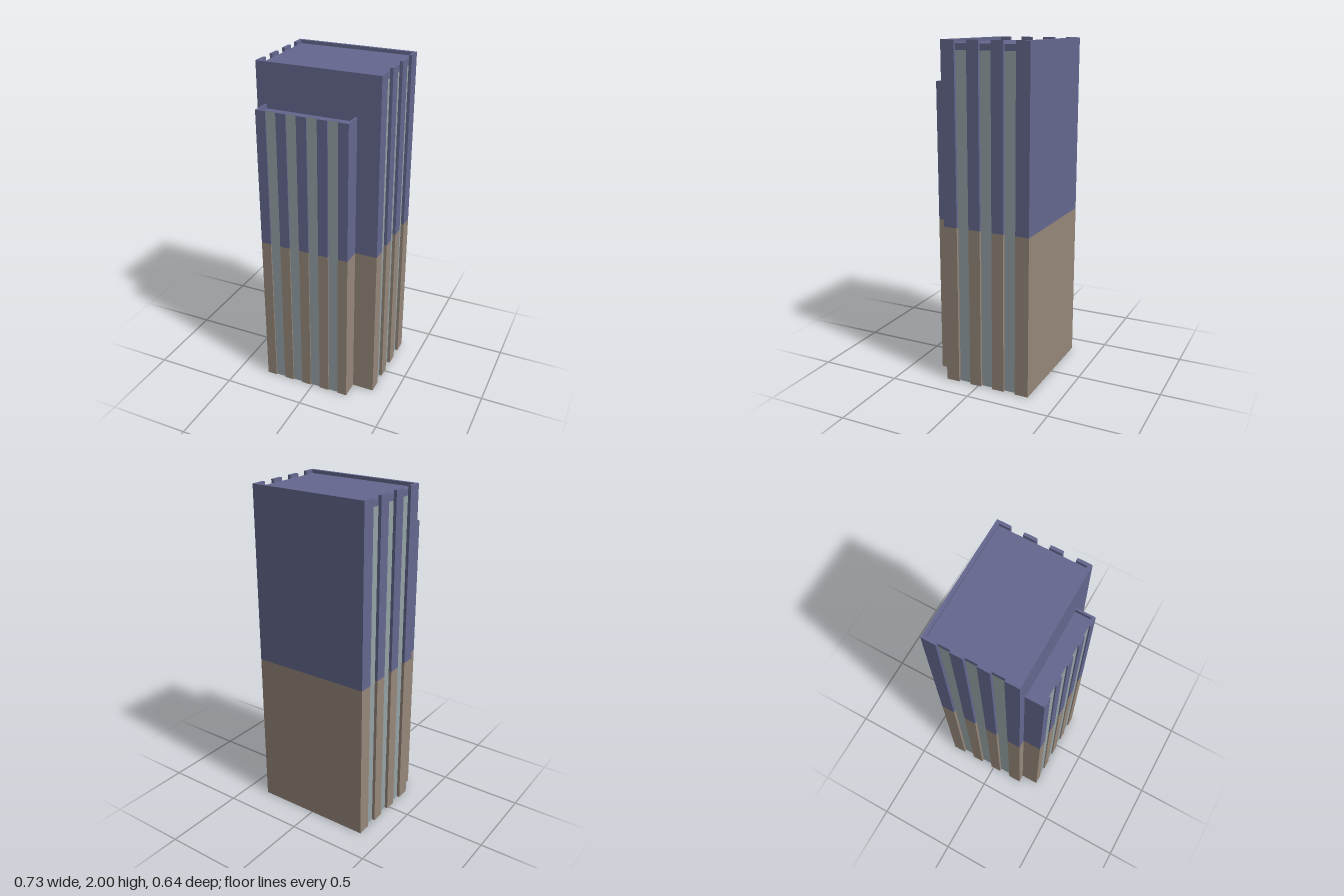
import * as THREE from 'three';

const SPLIT = 0.955; // height where the brown base changes to the purple upper half

function material(name, color) {
  const m = new THREE.MeshStandardMaterial({ color, side: THREE.DoubleSide });
  m.name = name;
  return m;
}

export function createModel() {
  const purple = material('purple upper cladding', 0x65688f);
  const brown = material('brown lower cladding', 0x97887b);
  const glass = material('grey glass', 0x95a2a6);

  const model = new THREE.Group();
  model.name = 'officeTower';
  const tower = new THREE.Group();
  tower.name = 'mainTower';
  const annex = new THREE.Group();
  annex.name = 'frontBlock';
  model.add(tower, annex);

  // Vertical sheet following a plan line of [x, z] points
  function wall(parent, name, plan, y0, y1, mat) {
    const p = [];
    for (let i = 0; i + 1 < plan.length; i++) {
      const [ax, az] = plan[i], [bx, bz] = plan[i + 1];
      p.push(ax, y0, az, bx, y0, bz, bx, y1, bz, ax, y0, az, bx, y1, bz, ax, y1, az);
    }
    const g = new THREE.BufferGeometry();
    g.setAttribute('position', new THREE.Float32BufferAttribute(p, 3));
    g.computeVertexNormals();
    const mesh = new THREE.Mesh(g, mat);
    mesh.name = name;
    parent.add(mesh);
  }

  // Cladding sheet, brown below the split and purple above it
  function cladding(parent, name, plan, top) {
    wall(parent, name + 'Lower', plan, 0, SPLIT, brown);
    wall(parent, name + 'Upper', plan, SPLIT, top, purple);
  }

  // Box given by its limits, for parapets and roofs
  function block(parent, name, x0, x1, y0, y1, z0, z1) {
    const g = new THREE.BoxGeometry(Math.abs(x1 - x0), y1 - y0, z1 - z0);
    g.translate((x0 + x1) / 2, (y0 + y1) / 2, (z0 + z1) / 2);
    const mesh = new THREE.Mesh(g, purple);
    mesh.name = name;
    parent.add(mesh);
  }

  // ---- Main tower ----
  const X = 0.363, XI = 0.345, ZB = -0.32, ZF = 0.21, TOP = 2, ROOF = 1.98;
  const piers = [[ZB, -0.238], [-0.165, -0.092], [-0.018, 0.053], [0.128, ZF]];
  const backEdge = piers[0][1], frontEdge = piers[3][0];

  // Front and back walls wrap round the corners
  cladding(tower, 'backWall', [[XI, backEdge], [X, backEdge], [X, ZB], [-X, ZB], [-X, backEdge], [-XI, backEdge]], ROOF);
  cladding(tower, 'frontWall', [[-XI, frontEdge], [-X, frontEdge], [-X, ZF], [X, ZF], [X, frontEdge], [XI, frontEdge]], ROOF);

  for (const s of [-1, 1]) {
    // Side glazing with a purple band above
    wall(tower, 'sideGlass', [[s * XI, ZB], [s * XI, ZF]], 0, 1.945, glass);
    wall(tower, 'sideGlassHeader', [[s * XI, ZB], [s * XI, ZF]], 1.945, ROOF, purple);
    // Piers between the glass strips, each rising above the roof
    piers.forEach(([z0, z1], i) => {
      if (i === 1 || i === 2) {
        cladding(tower, 'sidePier', [[s * XI, z0], [s * X, z0], [s * X, z1], [s * XI, z1]], ROOF);
      }
      block(tower, 'pierCap', s * XI, s * X, ROOF, TOP, z0, z1);
    });
  }
  block(tower, 'backParapet', -XI, XI, ROOF, TOP, ZB, -0.3);
  block(tower, 'frontParapet', -XI, XI, ROOF, TOP, 0.19, ZF);
  block(tower, 'towerRoof', -XI, XI, ROOF - 0.01, ROOF, ZB, ZF);

  // ---- Lower block on the front ----
  const L = -0.315, R = 0.231, Z = 0.32, ZG = 0.312, H = 1.765, HR = 1.74;
  const ribs = [[L, -0.255], [-0.193, -0.133], [-0.072, -0.012], [0.05, 0.11], [0.172, R]];
  ribs.forEach(([x0, x1], i) => {
    // End ribs carry the side walls back to the tower
    const start = [x0, i === 0 ? ZF : ZG];
    const end = [x1, i === ribs.length - 1 ? ZF : ZG];
    cladding(annex, 'frontRib', [start, [x0, Z], [x1, Z], end], H);
    block(annex, 'ribCap', x0, x1, HR, H, 0.311, Z);
    if (i + 1 < ribs.length) {
      wall(annex, 'frontGlass', [[x1, ZG], [ribs[i + 1][0], ZG]], 0, H, glass);
    }
  });
  block(annex, 'blockFrontParapet', L, R, HR, H, 0.301, 0.311);
  block(annex, 'blockRightParapet', L, L + 0.012, HR, H, ZF, 0.301);
  block(annex, 'blockLeftParapet', R - 0.012, R, HR, H, ZF, 0.301);
  block(annex, 'blockRoof', L, R, HR - 0.01, HR, ZF, 0.311);

  return model;
}
